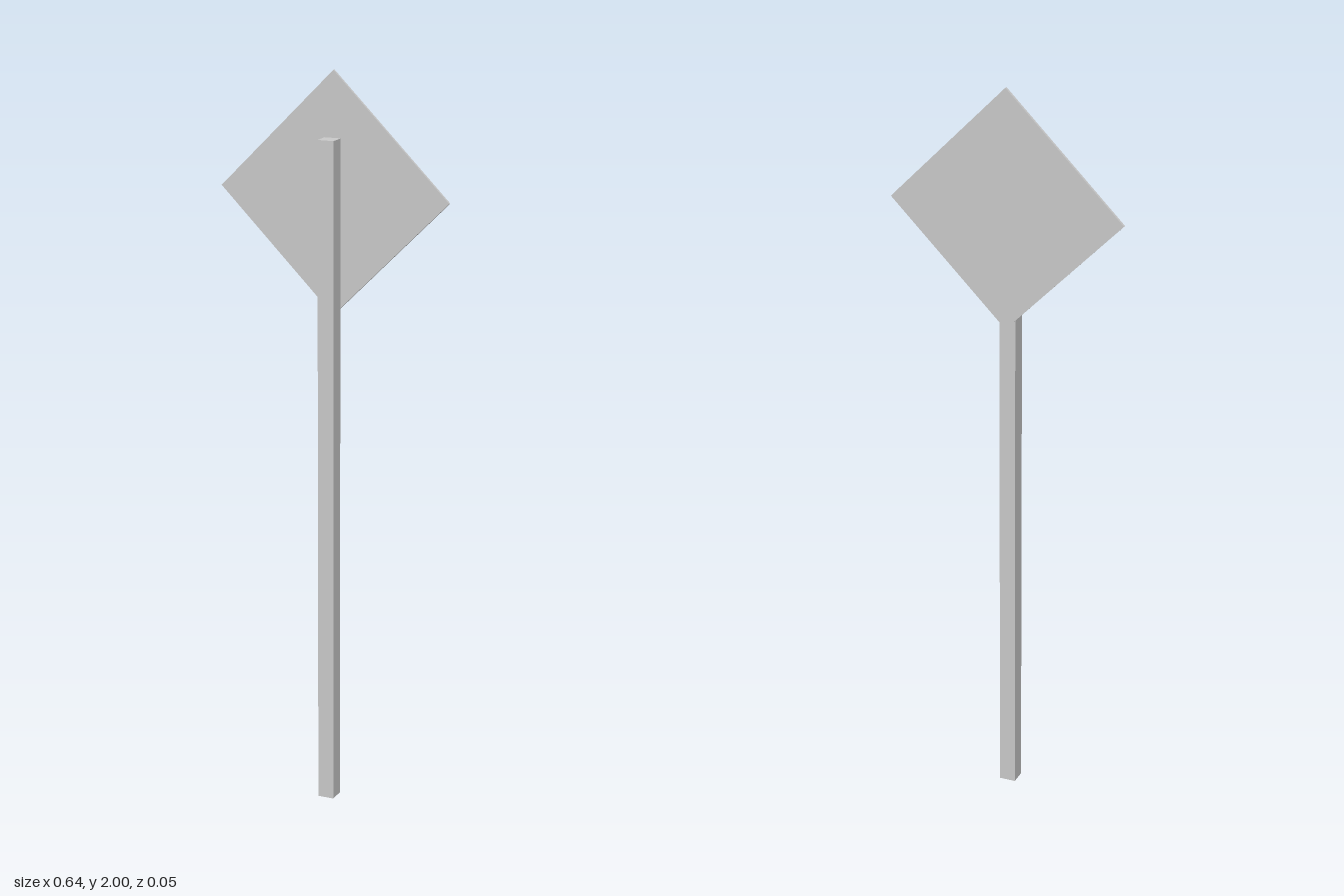
import * as THREE from 'three';

export function createModel() {
  const group = new THREE.Group();
  const material = new THREE.MeshStandardMaterial({ color: 0xcccccc, flatShading: true });

  function addBox(name, size, position) {
    const mesh = new THREE.Mesh(new THREE.BoxGeometry(...size), material);
    mesh.name = name;
    mesh.position.set(...position);
    group.add(mesh);
    return mesh;
  }

  // Square post standing on the ground
  const postHeight = 1.826;
  addBox('post', [0.045, postHeight, 0.045], [-0.001, postHeight / 2, 0.0045]);

  // Thin square sign plate turned on its corner, just behind the post
  const halfDiagonal = 0.321;
  const side = halfDiagonal * Math.SQRT2;
  const plate = addBox('signPlate', [side, side, 0.008], [0, 2 - halfDiagonal, -0.024]);
  plate.rotation.z = Math.PI / 4;

  return group;
}
